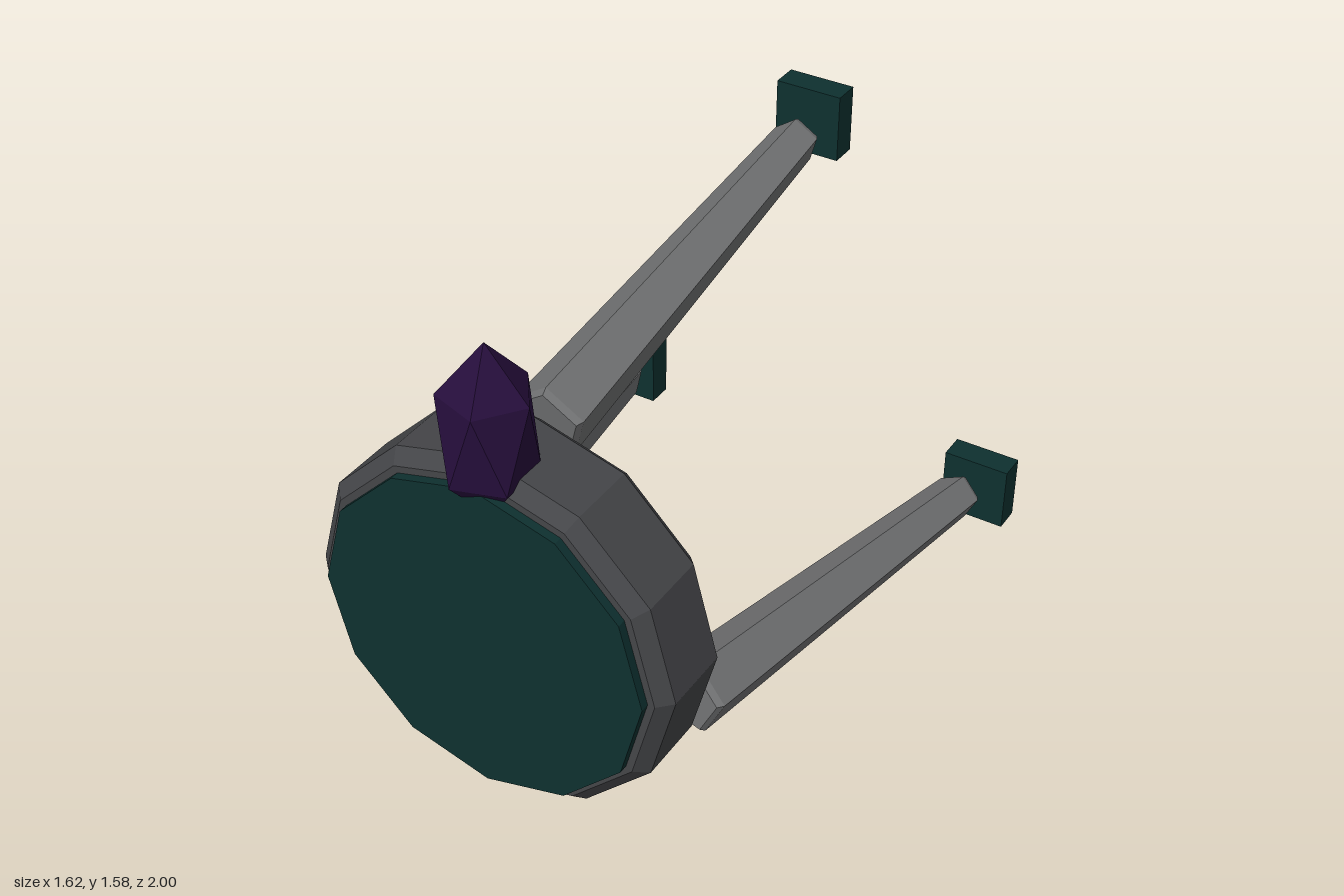
import * as THREE from 'three';

const paint = (color) => new THREE.MeshStandardMaterial({ color, flatShading: true });

// Closed faceted solid of revolution about y, profile given from bottom to top
const turned = (profile, sides) =>
  new THREE.LatheGeometry(profile.map(([r, y]) => new THREE.Vector2(r, y)), sides);

export function createModel() {
  const model = new THREE.Group();
  const frameMat = paint(0x444548);
  const legMat = paint(0x707172);
  const tealMat = paint(0x0e302f);
  const crystalMat = paint(0x260e3c);

  const add = (name, geometry, material, x = 0, y = 0, z = 0) => {
    const mesh = new THREE.Mesh(geometry, material);
    mesh.name = name;
    mesh.position.set(x, y, z);
    model.add(mesh);
    return mesh;
  };

  // Twelve-sided bevelled drum with a thin panel on its front
  const drum = turned([[0, 0.62], [0.57, 0.62], [0.612, 0.665], [0.612, 0.89], [0.57, 0.933], [0, 0.933]], 12);
  add('drum', drum.rotateX(Math.PI / 2), frameMat, 0, 0.62, 0);
  const panel = turned([[0, 0.92], [0.547, 0.92], [0.547, 0.962], [0, 0.962]], 12);
  add('frontPanel', panel.rotateX(Math.PI / 2), tealMat, 0, 0.62, 0);

  // Five-sided tapered leg with bevelled ends, spreading towards the back
  const addLeg = (name, near, far) => {
    const dir = far.clone().sub(near);
    const length = dir.length();
    const geometry = turned([[0, 0], [0.108, 0], [0.122, 0.02],
      [0.079, length - 0.018], [0.068, length], [0, length]], 5);
    const leg = add(name, geometry, legMat, near.x, near.y, near.z);
    leg.quaternion.setFromUnitVectors(new THREE.Vector3(0, 1, 0), dir.normalize());
  };
  const addFoot = (name, x, y) =>
    add(name, new THREE.BoxGeometry(0.226, 0.226, 0.09), tealMat, x, y, -0.955);

  addLeg('topLeg', new THREE.Vector3(0, 1.157, 0.59), new THREE.Vector3(0, 1.392, -0.86));
  addFoot('topFoot', 0, 1.424);
  for (const [side, s] of [['left', 1], ['right', -1]]) {
    addLeg(side + 'Leg', new THREE.Vector3(s * 0.472, 0.34, 0.59), new THREE.Vector3(s * 0.67, 0.224, -0.86));
    addFoot(side + 'Foot', s * 0.695, 0.213);
  }

  // Stretched crystal standing on a vertex, sunk into the top of the drum
  const crystal = new THREE.IcosahedronGeometry(1, 0);
  crystal.rotateZ(-Math.atan(2 / (1 + Math.sqrt(5))));
  crystal.scale(0.157, 0.29, 0.157);
  add('crystal', crystal, crystalMat, 0, 1.302, 0.866);

  return model;
}
